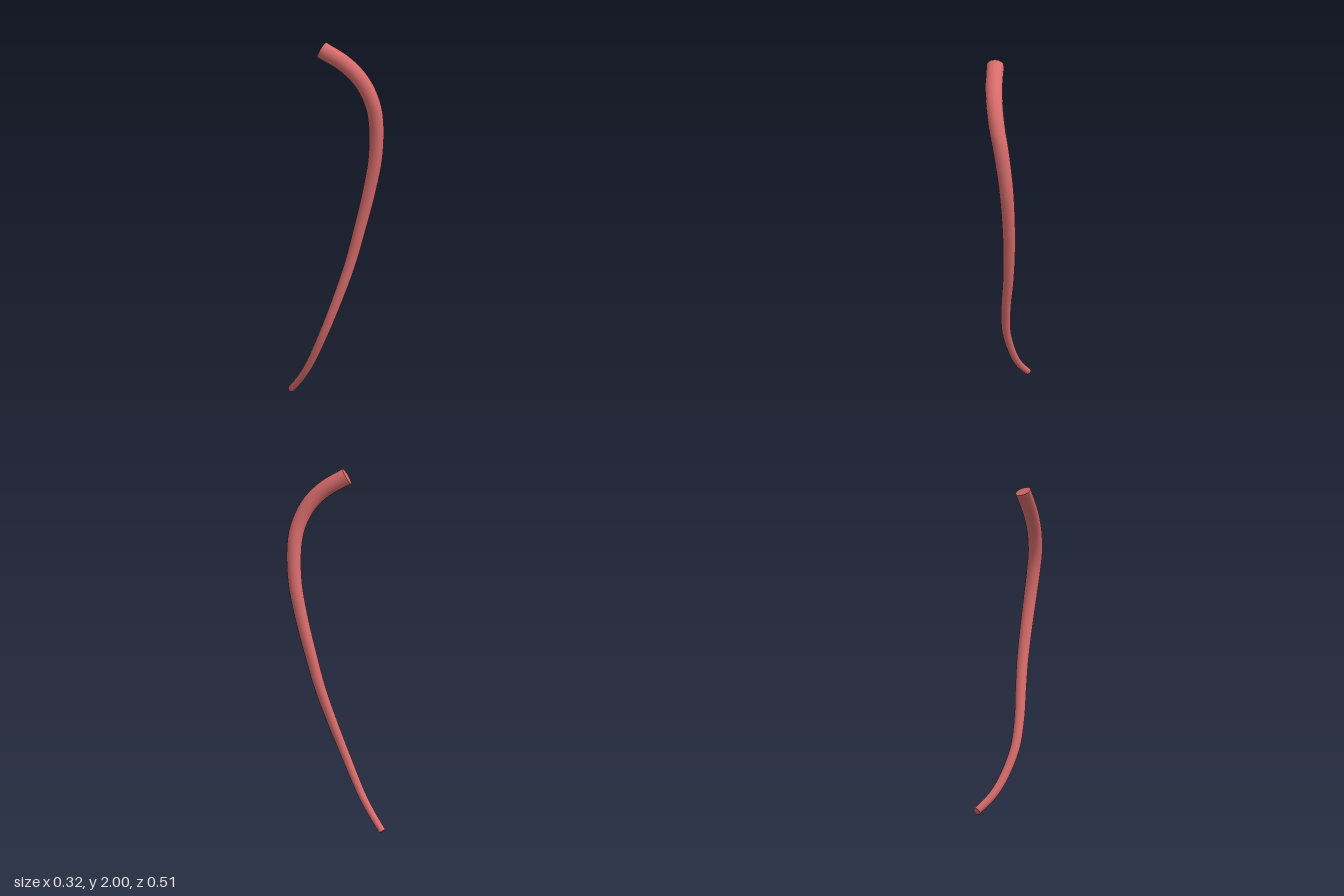
import * as THREE from 'three';

const SEGMENTS = 72;
const SIDES = 16;

export function createModel() {
  const group = new THREE.Group();
  group.name = 'taperedVessel';
  const material = new THREE.MeshStandardMaterial({ color: 0xd86c6c });

  // Centre line, from the thin lower end to the thick upper end
  const path = new THREE.CatmullRomCurve3([
    [-0.145, 0.015, -0.243], [-0.133, 0.1, -0.163], [-0.116, 0.2, -0.095],
    [-0.081, 0.4, -0.003], [-0.027, 0.6, 0.052], [0.03, 0.8, 0.09],
    [0.071, 1.0, 0.123], [0.103, 1.2, 0.16], [0.12, 1.4, 0.194],
    [0.105, 1.6, 0.214], [0.078, 1.7, 0.212], [0.033, 1.8, 0.186],
    [-0.03, 1.885, 0.13], [-0.115, 1.958, 0.038],
  ].map(p => new THREE.Vector3(...p)));
  const radiusAt = u => THREE.MathUtils.lerp(0.0195, 0.046, u);

  // Tube whose rings are scaled to taper along the path
  const geometry = new THREE.TubeGeometry(path, SEGMENTS, 1, SIDES, false);
  const position = geometry.attributes.position;
  const normal = geometry.attributes.normal;
  const v = new THREE.Vector3();
  for (let i = 0; i < position.count; i++) {
    const u = Math.floor(i / (SIDES + 1)) / SEGMENTS;
    v.fromBufferAttribute(normal, i).multiplyScalar(radiusAt(u)).add(path.getPointAt(u));
    position.setXYZ(i, v.x, v.y, v.z);
  }
  const tube = new THREE.Mesh(geometry, material);
  tube.name = 'tube';
  group.add(tube);

  // Flat caps facing outward at both ends
  for (const [name, u, sign] of [['lowerCap', 0, -1], ['upperCap', 1, 1]]) {
    const cap = new THREE.Mesh(new THREE.CircleGeometry(radiusAt(u), SIDES), material);
    cap.name = name;
    cap.position.copy(path.getPointAt(u));
    cap.lookAt(path.getTangentAt(u).multiplyScalar(sign).add(cap.position));
    group.add(cap);
  }
  return group;
}
